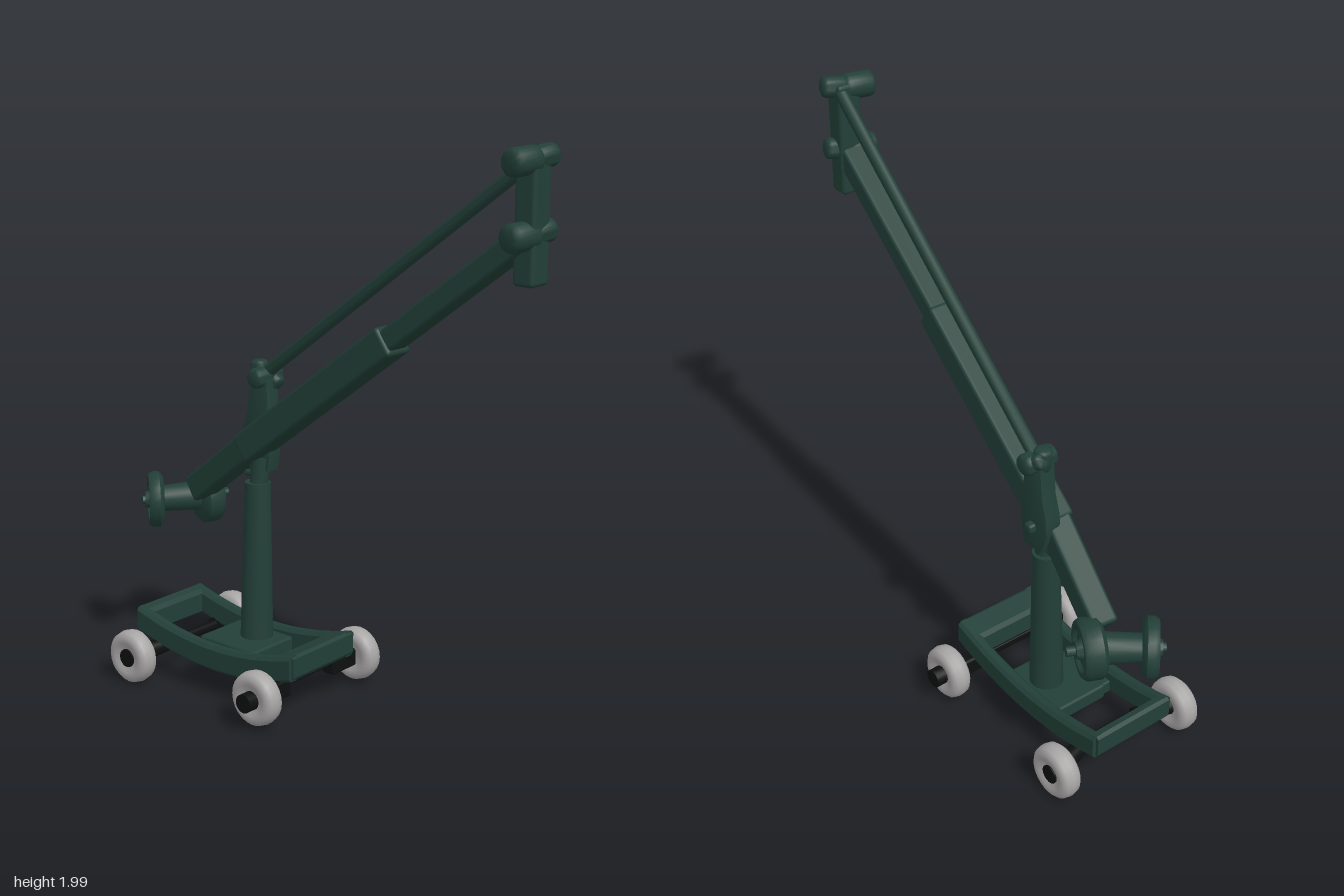
import * as THREE from 'three';
import { RoundedBoxGeometry } from 'three/addons/geometries/RoundedBoxGeometry.js';
import { toCreasedNormals } from 'three/addons/utils/BufferGeometryUtils.js';

const V = (x, y, z) => new THREE.Vector3(x, y, z);

export function createModel() {
  const model = new THREE.Group();
  const paint = (name, color) => {
    const m = new THREE.MeshStandardMaterial({ color });
    m.name = name;
    return m;
  };
  const green = paint('dark green', 0x223f37);
  const grey = paint('wheel grey', 0xa8a5a5);
  const black = paint('axle black', 0x0e0f0f);

  const add = (name, geometry, material = green) => {
    const mesh = new THREE.Mesh(geometry, material);
    mesh.name = name;
    model.add(mesh);
    return mesh;
  };
  // Round bar running from a to b
  const rod = (name, a, b, ra, rb = ra, material = green, sides = 16) => {
    const mesh = add(name, toCreasedNormals(new THREE.CylinderGeometry(rb, ra, a.distanceTo(b), sides), 0.7), material);
    mesh.position.copy(a).lerp(b, 0.5);
    mesh.quaternion.setFromUnitVectors(V(0, 1, 0), b.clone().sub(a).normalize());
  };
  // Soft-edged rectangular bar running from a to b
  const beam = (name, a, b, w, h, material = green, radius = 0.014) => {
    const mesh = add(name, new RoundedBoxGeometry(w, h, a.distanceTo(b), 2, radius), material);
    mesh.position.copy(a).lerp(b, 0.5);
    mesh.lookAt(b);
  };
  // Solid of revolution whose axis points along dir
  const turned = (name, pts, centre, dir, material = green) => {
    const profile = pts.map(([r, y]) => new THREE.Vector2(r, y));
    const mesh = add(name, toCreasedNormals(new THREE.LatheGeometry(profile, 24), 0.8), material);
    mesh.position.copy(centre);
    mesh.quaternion.setFromUnitVectors(V(0, 1, 0), dir.clone().normalize());
  };
  // Pin with rounded ends running from a to b
  const pin = (name, a, b, r) => {
    const h = a.distanceTo(b) / 2;
    const pts = [[0, -h], [r * 0.6, -h], [r * 0.9, -h + r * 0.15], [r, -h + r * 0.4],
      [r, h - r * 0.4], [r * 0.9, h - r * 0.15], [r * 0.6, h], [0, h]];
    turned(name, pts, a.clone().lerp(b, 0.5), b.clone().sub(a));
  };

  // Bowed base frame: four bars of chamfered section, lifted toward both ends
  const bow = (z) => 0.1 + 0.43 * (z + 0.345) ** 2;
  const section = (w, h, c) => new THREE.Shape([[-w + c, 0], [w - c, 0], [w, c], [w, h - c], [w - c, h],
    [-w + c, h], [-w, h - c], [-w, c]].map(([x, y]) => new THREE.Vector2(x, y)));
  const frameBar = (name, width, length, x, z, turn) => {
    const g = new THREE.ExtrudeGeometry(section(width / 2, 0.092, 0.012), { depth: length, steps: 16, bevelEnabled: false });
    g.translate(0, 0, -length / 2).rotateY(turn).translate(x, 0, z);
    const p = g.attributes.position;
    for (let i = 0; i < p.count; i++) p.setY(i, p.getY(i) + bow(p.getZ(i)));
    add(name, toCreasedNormals(g, 0.6));
  };
  frameBar('frameRailRight', 0.046, 0.73, -0.156, -0.345, 0);
  frameBar('frameRailLeft', 0.046, 0.73, 0.136, -0.345, 0);
  frameBar('frameFrontBar', 0.095, 0.31, -0.01, -0.02, Math.PI / 2);
  frameBar('frameRearBar', 0.05, 0.31, -0.01, -0.696, Math.PI / 2);

  // Deck that carries the column
  beam('deck', V(-0.01, 0.13, -0.46), V(-0.01, 0.13, -0.24), 0.28, 0.05, green, 0.008);
  beam('deckPad', V(0.01, 0.145, -0.48), V(0.01, 0.145, -0.22), 0.21, 0.06, green, 0.01);

  // Wheels and hubs
  const tyre = [[0, -0.028], [0.04, -0.028], [0.055, -0.036], [0.078, -0.036], [0.091, -0.024], [0.096, 0],
    [0.091, 0.024], [0.078, 0.036], [0.055, 0.036], [0.04, 0.028], [0, 0.028]];
  const axles = [{ end: 'front', y: 0.118, z: -0.043, hub: 0.068 }, { end: 'rear', y: 0.108, z: -0.64, hub: 0.034 }];
  for (const { end, y, z, hub } of axles) {
    for (const [side, s, x] of [['Left', 1, 0.25], ['Right', -1, -0.27]]) {
      turned(end + 'Wheel' + side, tyre, V(x, y, z), V(1, 0, 0), grey);
      rod(end + 'Hub' + side, V(x, y, z), V(x + s * hub, y, z), 0.033, 0.033, black);
    }
  }
  // Front axle: thick stubs with a thin bar between
  beam('frontAxleBar', V(-0.14, 0.128, -0.055), V(0.13, 0.128, -0.055), 0.035, 0.028, black, 0.005);
  beam('frontStubRight', V(-0.25, 0.115, -0.048), V(-0.12, 0.115, -0.048), 0.055, 0.065, black, 0.01);
  beam('frontStubLeft', V(0.23, 0.115, -0.048), V(0.1, 0.115, -0.048), 0.055, 0.065, black, 0.01);
  // Rear axle: spindle tapering toward the middle
  rod('rearStubRight', V(-0.25, 0.11, -0.635), V(-0.11, 0.12, -0.61), 0.035, 0.026, black);
  rod('rearStubLeft', V(0.23, 0.11, -0.635), V(0.11, 0.12, -0.61), 0.035, 0.026, black);
  rod('rearAxleBar', V(-0.12, 0.12, -0.61), V(0.12, 0.12, -0.61), 0.018, 0.018, black);

  // Column
  rod('column', V(0.042, 0.11, -0.33), V(0.06, 0.74, -0.335), 0.06, 0.046, green, 20);
  rod('columnNeck', V(0.06, 0.73, -0.33), V(0.07, 0.83, -0.325), 0.032, 0.034);
  rod('lockPin', V(0.066, 0.765, -0.33), V(0.07, 0.76, -0.395), 0.012);

  // Upright bracket beside the boom, drawn in side profile
  const side = new THREE.Shape([[-0.295, 0.79], [-0.37, 0.79], [-0.398, 0.86], [-0.394, 0.93], [-0.372, 1.0],
    [-0.362, 1.11], [-0.297, 1.11], [-0.29, 0.98], [-0.28, 0.88]].map(([z, y]) => new THREE.Vector2(-z, y)));
  const bracket = new THREE.ExtrudeGeometry(side, {
    depth: 0.045, bevelEnabled: true, bevelSize: 0.008, bevelThickness: 0.008, bevelSegments: 2,
  });
  bracket.rotateY(Math.PI / 2).translate(0.066, 0, 0);
  add('uprightBracket', toCreasedNormals(bracket, 0.6));
  pin('boomPivot', V(0.02, 0.87, -0.335), V(0.142, 0.87, -0.335), 0.02);
  pin('linkPivot', V(0.03, 1.115, -0.325), V(0.157, 1.115, -0.325), 0.036);
  pin('linkPivotKnob', V(0.11, 1.145, -0.375), V(0.118, 1.085, -0.28), 0.028);
  pin('bracketCap', V(0.092, 1.09, -0.345), V(0.09, 1.17, -0.35), 0.03);

  // Boom: slim outer section, thicker sleeve, tail
  const tip = V(0.006, 1.735, 0.81);
  const step = V(0.022, 1.335, 0.275);
  const pivot = V(0.042, 0.885, -0.33);
  const tail = V(0.09, 0.645, -0.655);
  beam('boomOuter', tip, step, 0.092, 0.076);
  beam('boomSleeve', step.clone().lerp(tip, 0.03), pivot.clone().lerp(tail, 0.1), 0.112, 0.106);
  beam('boomTail', pivot, tail, 0.092, 0.096);

  // Head mount and its cross pivots
  beam('headMount', V(0.015, 1.58, 0.805), V(0.015, 1.975, 0.805), 0.088, 0.075);
  for (const [name, y, r] of [['headPivotUpper', 1.953, 0.044], ['headPivotLower', 1.733, 0.045]]) {
    pin(name, V(-0.09, y - 0.005, 0.79), V(0.02, y, 0.81), r);
    pin(name + 'Knob', V(0.0, y, 0.805), V(0.088, y + 0.012, 0.828), r - 0.008);
  }

  // Parallel link rod
  rod('linkRod', V(0.04, 1.957, 0.8), V(0.098, 1.13, -0.32), 0.022, 0.023, green, 10);

  // Counterweights on a skewed axle
  const plateR = V(-0.005, 0.6, -0.78);
  const plateL = V(0.15, 0.605, -0.67);
  rod('weightAxle', plateR, plateL, 0.046, 0.056);
  const plate = (t) => [[0, -t], [0.085, -t], [0.102, -t + 0.015], [0.102, t - 0.015], [0.092, t], [0.075, t],
    [0.068, t - 0.012], [0.035, t - 0.012], [0.028, t + 0.012], [0, t + 0.012]];
  turned('counterweightRight', plate(0.027), plateR, V(-0.76, 0, -0.65));
  turned('counterweightLeft', plate(0.038), plateL, V(0.9, 0, 0.42));
  rod('weightSpindleLeft', plateL, V(0.222, 0.605, -0.636), 0.016);
  rod('weightSpindleRight', plateR, V(-0.046, 0.6, -0.808), 0.016);

  return model;
}
